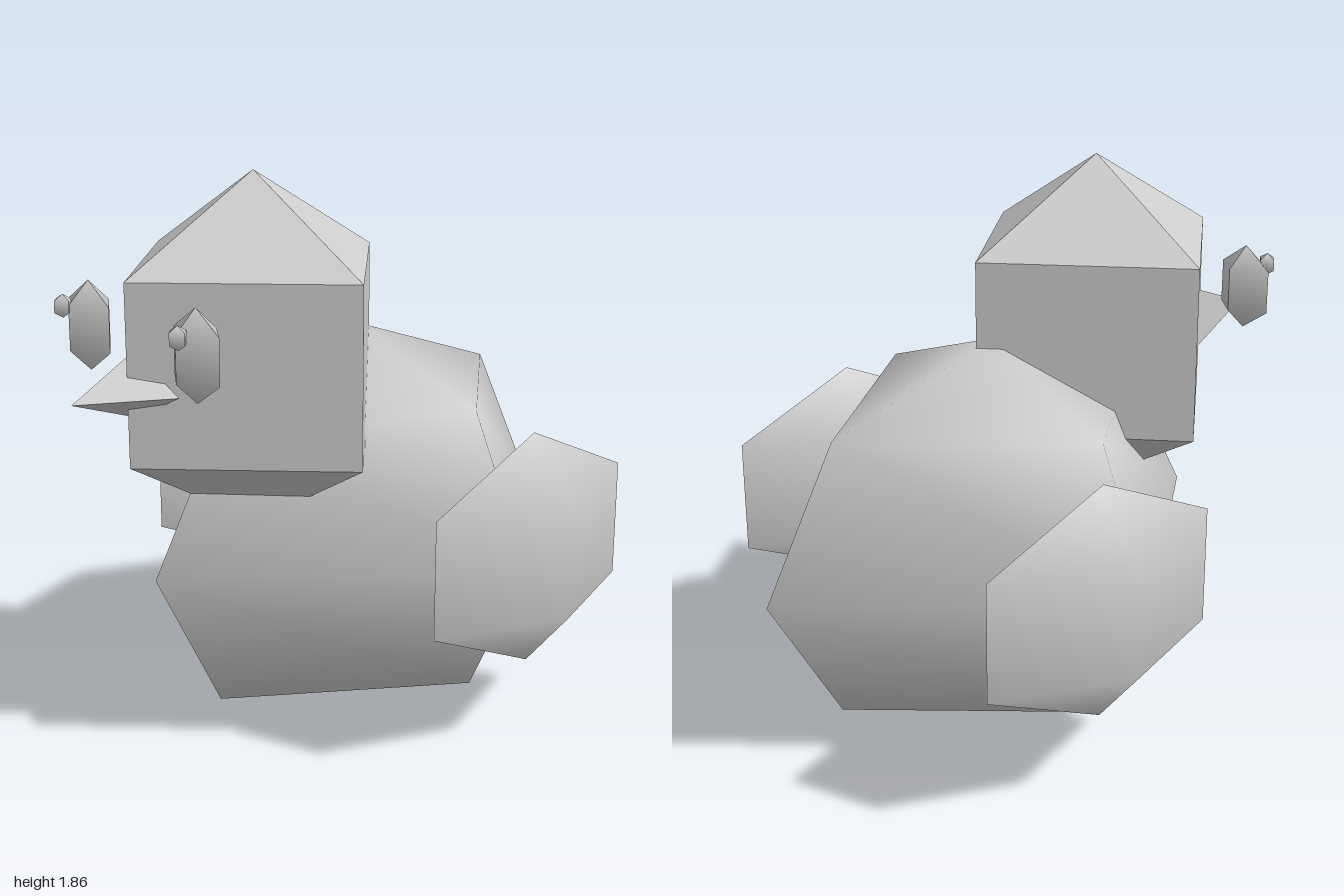
import * as THREE from 'three';

const grey = new THREE.MeshStandardMaterial({ color: 0xcccccc });
grey.name = 'plain grey';

// Four-sided faceted ball with its corners on the axes
function facetedBall(rows) {
  const geo = new THREE.SphereGeometry(1, 4, rows).toNonIndexed();
  geo.deleteAttribute('uv');
  return geo;
}

// Average the normals of corners that share a position and a smoothing group.
// groupOf(faceCentre, corner) names the smoothing group.
function smoothByGroup(geo, groupOf) {
  const pos = geo.attributes.position;
  const sums = new Map(), keys = [];
  const p = [new THREE.Vector3(), new THREE.Vector3(), new THREE.Vector3()];
  for (let i = 0; i < pos.count; i += 3) {
    p.forEach((v, k) => v.fromBufferAttribute(pos, i + k));
    const centre = p[0].clone().add(p[1]).add(p[2]).divideScalar(3);
    const normal = p[1].clone().sub(p[0]).cross(p[2].clone().sub(p[0]));
    for (const v of p) {
      const at = v.toArray().map(n => Math.round(n * 1e4) + 0).join();
      const key = at + '|' + groupOf(centre, v);
      keys.push(key);
      if (!sums.has(key)) sums.set(key, new THREE.Vector3());
      sums.get(key).add(normal);
    }
  }
  keys.forEach((key, i) => {
    const n = sums.get(key).clone().normalize();
    geo.attributes.normal.setXYZ(i, n.x, n.y, n.z);
  });
  return geo;
}

const quadrant = c => (c.x > 0 ? 'L' : 'R') + (c.z > 0 ? 'F' : 'B');
const side = c => (c.x > 0 ? 'L' : 'R');

function makeBody() {
  const geo = facetedBall(4);
  const pos = geo.attributes.position;
  // The front and back corners sag a little; the back is slightly longer
  for (let i = 0; i < pos.count; i++) {
    const x = pos.getX(i), y = pos.getY(i), z = pos.getZ(i);
    let drop = 0.04 * z * z;
    if (z > 0.1) drop += 0.08 * (1 - z * z);
    pos.setXYZ(i, x * 0.78, y * 0.655 - drop, z * (z > 0 ? 0.85 : 0.87));
  }
  // Sharp upright corners at the waist, smooth above and below
  return smoothByGroup(geo, (c, v) => (Math.abs(v.y) < 0.1 ? quadrant(c) : 'all'));
}

export function createModel() {
  const model = new THREE.Group();
  model.name = 'chick';
  const add = (name, geo, x, y, z) => {
    const mesh = new THREE.Mesh(geo, grey);
    mesh.name = name;
    mesh.position.set(x, y, z);
    model.add(mesh);
  };

  add('body', makeBody(), 0, 0.655, -0.13);

  // Head: flat-sided block with pointed crown and underside
  const head = facetedBall(3).scale(0.496 / Math.sin(Math.PI / 3), 0.57, 0.496 / Math.sin(Math.PI / 3));
  head.computeVertexNormals();
  add('head', head, 0, 1.285, 0.305);

  // Beak: three-sided cone lying on its side
  const beak = new THREE.ConeGeometry(1, 1, 3).toNonIndexed();
  beak.rotateY(Math.PI / 2).rotateX(Math.PI / 2).scale(0.147, 0.121, 0.28);
  beak.computeVertexNormals();
  add('beak', beak, 0, 1.235, 0.86);

  // Paired parts; half sizes are given at the widest ring
  const ring = Math.sin(Math.PI / 3);
  const lozenge = (hx, hy, hz, group) =>
    smoothByGroup(facetedBall(3).scale(hx / ring, hy, hz / ring), group);
  for (const s of [1, -1]) {
    const label = s > 0 ? 'left' : 'right';
    add(label + 'Wing', lozenge(0.165, 0.385, 0.433, side), s * 0.69, 0.672, -0.247);
    add(label + 'Eye', lozenge(0.106, 0.142, 0.075, quadrant), s * 0.267, 1.39, 0.745);
    add(label + 'Pupil', lozenge(0.033, 0.037, 0.031, quadrant), s * 0.288, 1.459, 0.826);
  }
  return model;
}
